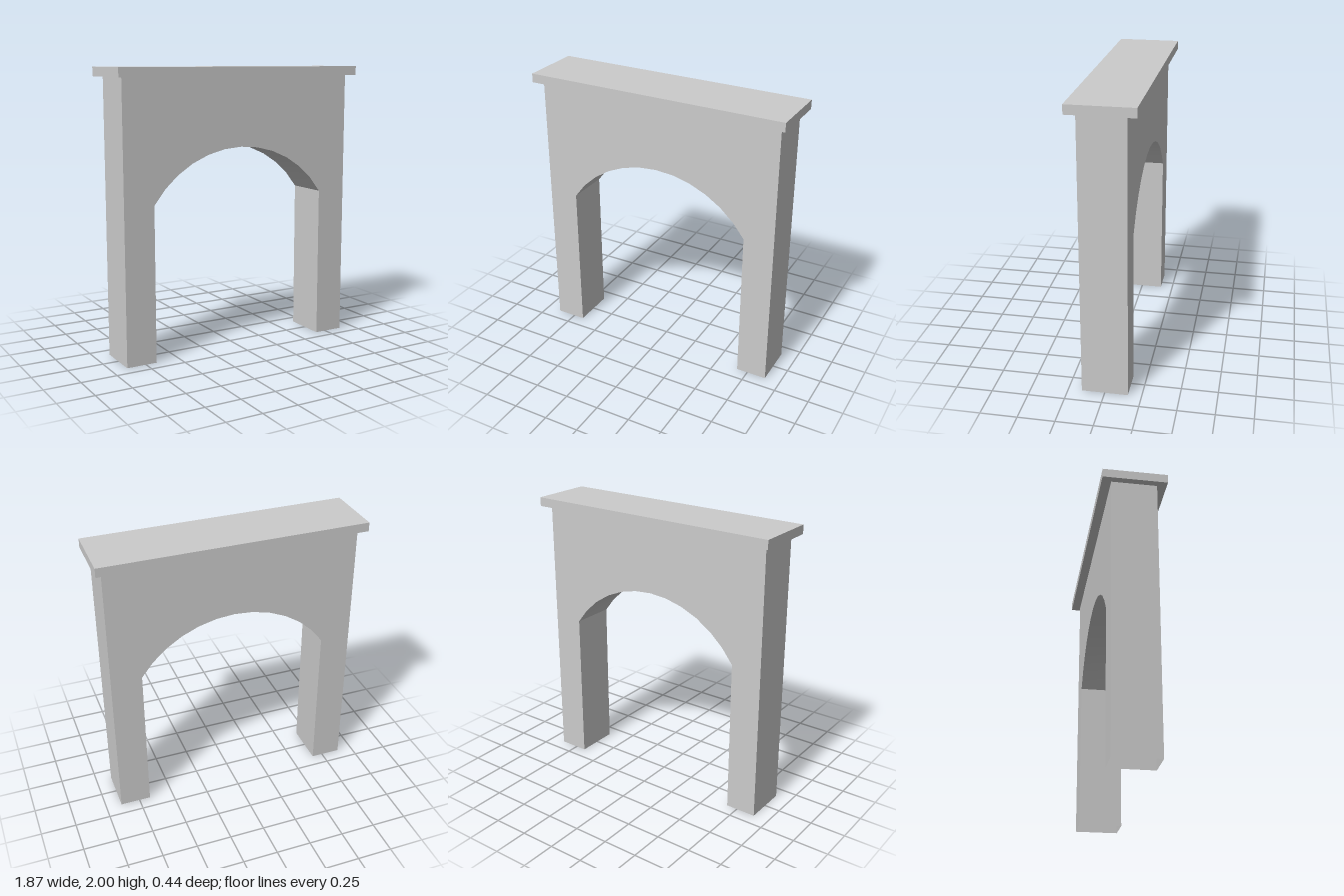
import * as THREE from 'three';
import { toCreasedNormals } from 'three/addons/utils/BufferGeometryUtils.js';

const material = new THREE.MeshStandardMaterial({ color: 0xcccccc, side: THREE.DoubleSide });

const WALL = { halfWidth: 0.888, halfDepth: 0.157, top: 1.937 };
const ARCH = { halfWidth: 0.67, spring: 1.09, crown: 1.45, segments: 12 };
const CAP = { width: 1.87, depth: 0.444, top: 2 };

// Wall outline: two legs joined over a segmental arch
function wallShape() {
  const rise = ARCH.crown - ARCH.spring;
  const radius = (ARCH.halfWidth ** 2 + rise ** 2) / (2 * rise);
  const centreY = ARCH.crown - radius;
  const sweep = Math.asin(ARCH.halfWidth / radius);

  const shape = new THREE.Shape();
  shape.moveTo(ARCH.halfWidth, 0);
  shape.lineTo(WALL.halfWidth, 0);
  shape.lineTo(WALL.halfWidth, WALL.top);
  shape.lineTo(-WALL.halfWidth, WALL.top);
  shape.lineTo(-WALL.halfWidth, 0);
  shape.lineTo(-ARCH.halfWidth, 0);
  for (let i = 0; i <= ARCH.segments; i++) {
    const a = sweep * ((2 * i) / ARCH.segments - 1);
    shape.lineTo(radius * Math.sin(a), centreY + radius * Math.cos(a));
  }
  shape.closePath();
  return shape;
}

// Drop the triangles lying on the ground, leaving the legs open and hollow
function openBottom(geometry) {
  const { position, normal } = geometry.attributes;
  const points = [], normals = [];
  for (let i = 0; i < position.count; i += 3) {
    const corners = [i, i + 1, i + 2];
    if (corners.every((k) => Math.abs(position.getY(k)) < 1e-5)) continue;
    for (const k of corners) {
      points.push(position.getX(k), position.getY(k), position.getZ(k));
      normals.push(normal.getX(k), normal.getY(k), normal.getZ(k));
    }
  }
  const open = new THREE.BufferGeometry();
  open.setAttribute('position', new THREE.Float32BufferAttribute(points, 3));
  open.setAttribute('normal', new THREE.Float32BufferAttribute(normals, 3));
  return open;
}

export function createModel() {
  const group = new THREE.Group();
  group.name = 'archway';

  // Arched wall, smooth under the arch and sharp elsewhere
  const solid = new THREE.ExtrudeGeometry(wallShape(), { depth: 2 * WALL.halfDepth, bevelEnabled: false });
  solid.translate(0, 0, -WALL.halfDepth);
  const wall = new THREE.Mesh(openBottom(toCreasedNormals(solid, 0.5)), material);
  wall.name = 'archedWall';
  group.add(wall);

  // Overhanging cap slab
  const capHeight = CAP.top - WALL.top;
  const cap = new THREE.Mesh(new THREE.BoxGeometry(CAP.width, capHeight, CAP.depth), material);
  cap.position.y = WALL.top + capHeight / 2;
  cap.name = 'capSlab';
  group.add(cap);

  return group;
}
